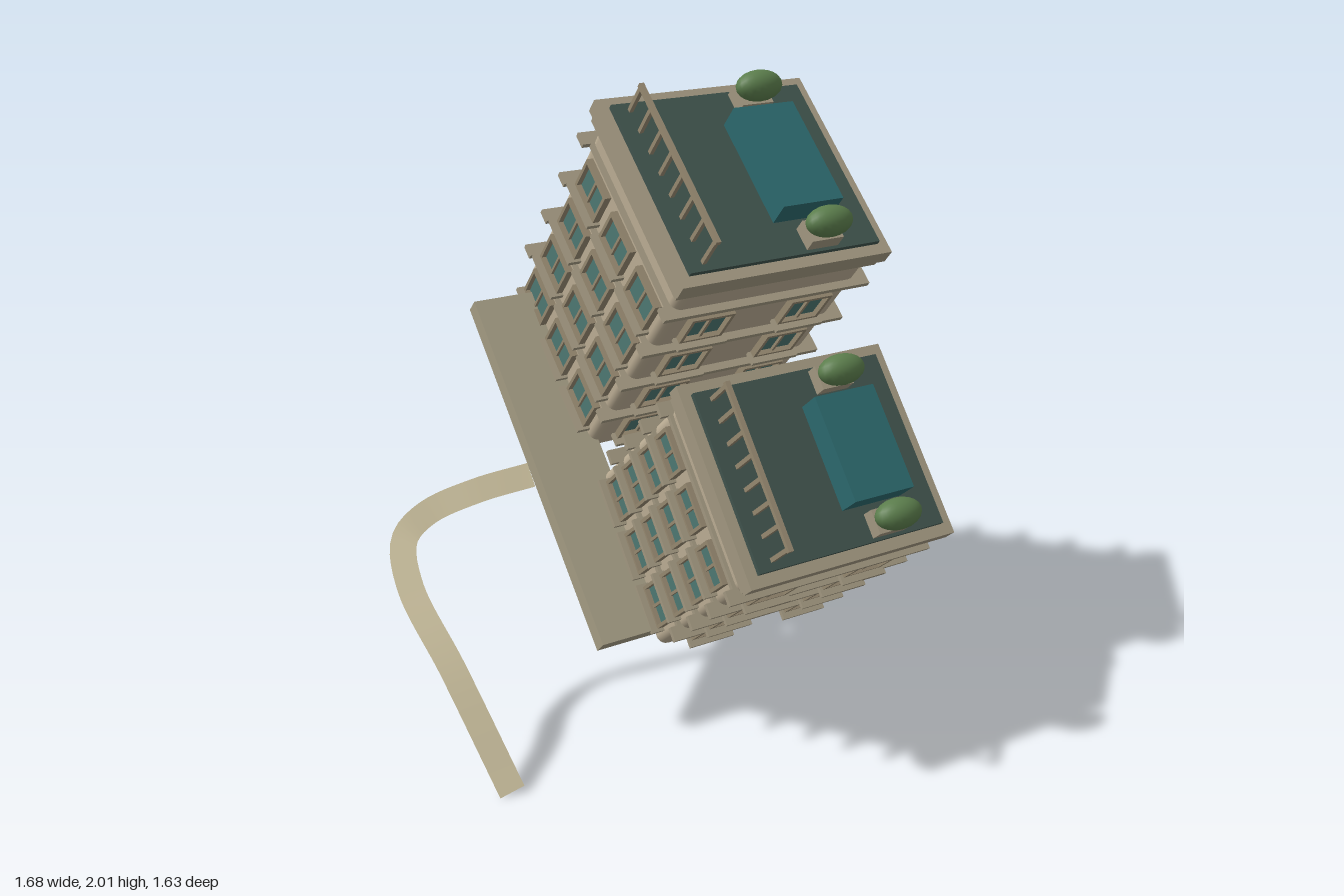
import * as THREE from 'three';
import { RoundedBoxGeometry } from 'three/addons/geometries/RoundedBoxGeometry.js';

const mat = (color, extra = {}) => new THREE.MeshStandardMaterial({ color, ...extra });
const M = {
  wall: mat(0xb9ab92), trim: mat(0xa0967f), frame: mat(0x94876f), glass: mat(0x4d7771),
  roof: mat(0x3f524c), cabin: mat(0x2c686c), bush: mat(0x5b7d4c), slab: mat(0xa29a82),
  path: mat(0xcdc2a0, { side: THREE.DoubleSide }),
};
const rad = THREE.MathUtils.degToRad;

function add(parent, name, geo, material, x = 0, y = 0, z = 0) {
  const m = new THREE.Mesh(geo, material);
  m.name = name;
  m.position.set(x, y, z);
  parent.add(m);
  return m;
}
const box = (w, h, d) => new THREE.BoxGeometry(w, h, d);

// Rectangular window frame in the XY plane, extruded along z
function frame(hw, hh, t, depth) {
  const rect = (C, a, b) => {
    const s = new C();
    s.moveTo(-a, -b); s.lineTo(a, -b); s.lineTo(a, b); s.lineTo(-a, b); s.closePath();
    return s;
  };
  const s = rect(THREE.Shape, hw, hh);
  s.holes.push(rect(THREE.Path, hw - t, hh - t));
  return new THREE.ExtrudeGeometry(s, { depth, bevelEnabled: false });
}

// Two-pane window with frame, mullion and sill, facing +z
function makeWindow(w, h) {
  const g = new THREE.Group();
  g.name = 'window';
  add(g, 'windowFrame', frame(w / 2, h / 2, 0.011, 0.032), M.frame, 0, 0, -0.01);
  add(g, 'windowGlass', box(w - 0.018, h - 0.018, 0.02), M.glass, 0, 0, -0.004);
  add(g, 'windowMullion', box(0.009, h - 0.018, 0.022), M.frame, 0, 0, 0.004);
  add(g, 'windowSill', box(w + 0.02, 0.014, 0.05), M.trim, 0, -h / 2 - 0.004, 0.018);
  return g;
}

// One block of four floors; y = 0 is its underside
function makeBuilding({ hw, hd, height, rise, first, pitch, winW, winH, k }) {
  const g = new THREE.Group();
  const wallH = height - 0.06;
  add(g, 'walls', new RoundedBoxGeometry(hw * 2, wallH, hd * 2, 3, 0.032), M.wall, 0, wallH / 2, 0);

  // Windows on all four faces, with a ledge above every floor
  const floors = 4;
  const faces = [
    { turn: 0, dist: hd, xs: [-pitch, 0, pitch], ledge: 2 * hw, out: 0.012 },
    { turn: 90, dist: hw, xs: [-0.175, 0.175], ledge: 2 * hd + 0.075, out: 0.025 },
    { turn: 180, dist: hd, xs: [-0.175 * k, 0.175 * k], ledge: 2 * hw + 0.05, out: 0.037 },
    { turn: -90, dist: hw, xs: [-0.175, 0.175], ledge: 2 * hd + 0.075, out: 0.025 },
  ];
  for (const { turn, dist, xs, ledge, out } of faces) {
    const face = new THREE.Group();
    face.name = 'facade';
    face.rotation.y = rad(turn);
    for (let f = 0; f < floors; f++) {
      const y = first + f * rise;
      for (const x of xs) {
        const win = makeWindow(winW, winH);
        win.position.set(x, y, dist);
        face.add(win);
      }
      add(face, 'floorLedge', box(ledge, 0.016, out + 0.02), M.trim, 0, y + rise / 2, dist + out / 2 - 0.01);
    }
    g.add(face);
  }

  // Stepped cornice carrying the roof deck
  const ow = 2 * hw + 0.04, od = 2 * hd + 0.076;
  add(g, 'corniceStep', box(ow - 0.025, 0.035, od - 0.025), M.trim, 0, height - 0.065, 0);
  add(g, 'corniceSlab', box(ow, 0.05, od), M.trim, 0, height - 0.025, 0);
  add(g, 'roofDeck', box(ow - 0.07, 0.03, od - 0.07), M.roof, 0, height, 0);

  // Rooftop cabin, with a planted tub at either end
  const deck = height + 0.015;
  add(g, 'roofCabin', box(0.36 * k, 0.085, 0.21), M.cabin, 0, deck + 0.0375, -0.11);
  for (const s of [-1, 1]) {
    add(g, 'planter', box(0.075, 0.045, 0.11), M.trim, s * 0.25 * k, deck + 0.02, -0.125);
    const bush = add(g, 'bush', new THREE.SphereGeometry(1, 20, 14), M.bush, s * 0.25 * k, deck + 0.08, -0.128);
    bush.scale.set(0.047, 0.047, 0.078);
  }

  // Railing along the front edge
  const half = 0.27 * k, rz = hd - 0.05;
  add(g, 'topRail', box(half * 2 + 0.02, 0.014, 0.016), M.frame, 0, deck + 0.105, rz);
  for (let i = 0; i < 8; i++) {
    add(g, 'railPost', box(0.013, 0.11, 0.013), M.frame, -half + (i * 2 * half) / 7, deck + 0.05, rz);
  }
  return g;
}

// Flat strip following a curve, its width lying across the given up direction
function makeRibbon(points, up, width) {
  const curve = new THREE.CatmullRomCurve3(points.map((p) => new THREE.Vector3(...p)));
  const n = 48, pos = [], idx = [];
  for (let i = 0; i <= n; i++) {
    const p = curve.getPointAt(i / n);
    const side = curve.getTangentAt(i / n).cross(up).normalize().multiplyScalar(width / 2);
    pos.push(...p.clone().sub(side).toArray(), ...p.clone().add(side).toArray());
    if (i < n) {
      const a = i * 2;
      idx.push(a, a + 1, a + 2, a + 1, a + 3, a + 2);
    }
  }
  const geo = new THREE.BufferGeometry();
  geo.setAttribute('position', new THREE.Float32BufferAttribute(pos, 3));
  geo.setIndex(idx);
  geo.computeVertexNormals();
  return geo;
}

export function createModel() {
  const model = new THREE.Group();
  model.name = 'tiltedBuildings';
  const site = new THREE.Group();
  site.name = 'site';
  site.rotation.y = rad(-35);
  model.add(site);

  const tilted = (name, degrees) => {
    const t = new THREE.Group();
    t.name = name;
    t.rotation.z = rad(-degrees);
    site.add(t);
    return t;
  };

  // Tall block
  const tall = makeBuilding({
    hw: 0.313, hd: 0.325, height: 0.985, rise: 0.194, first: 0.14,
    pitch: 0.195, winW: 0.148, winH: 0.125, k: 1,
  });
  tall.position.set(-1.085, 0.355, -0.122);
  tilted('tallBlock', 41.8).add(tall);

  // Low block
  const low = makeBuilding({
    hw: 0.29, hd: 0.322, height: 0.75, rise: 0.133, first: 0.135,
    pitch: 0.178, winW: 0.138, winH: 0.092, k: 0.91,
  });
  low.position.set(-0.422, 0.248, -0.118);
  tilted('lowBlock', 50).add(low);

  // Terrace along the front of both blocks
  add(tilted('terraceGroup', 46), 'terrace', box(1.21, 0.055, 0.24), M.slab, -0.755, 0.322, 0.297);

  // Winding path
  const up = new THREE.Vector3(0.53, 0.59, 0.61);
  const route = [
    [-0.48, 0.76, 0.19], [-0.6, 0.74, 0.33], [-0.7, 0.7, 0.46], [-0.72, 0.65, 0.56],
    [-0.66, 0.54, 0.635], [-0.48, 0.33, 0.705], [-0.25, 0.01, 0.78],
  ];
  add(model, 'path', makeRibbon(route, up, 0.08), M.path);
  return model;
}
